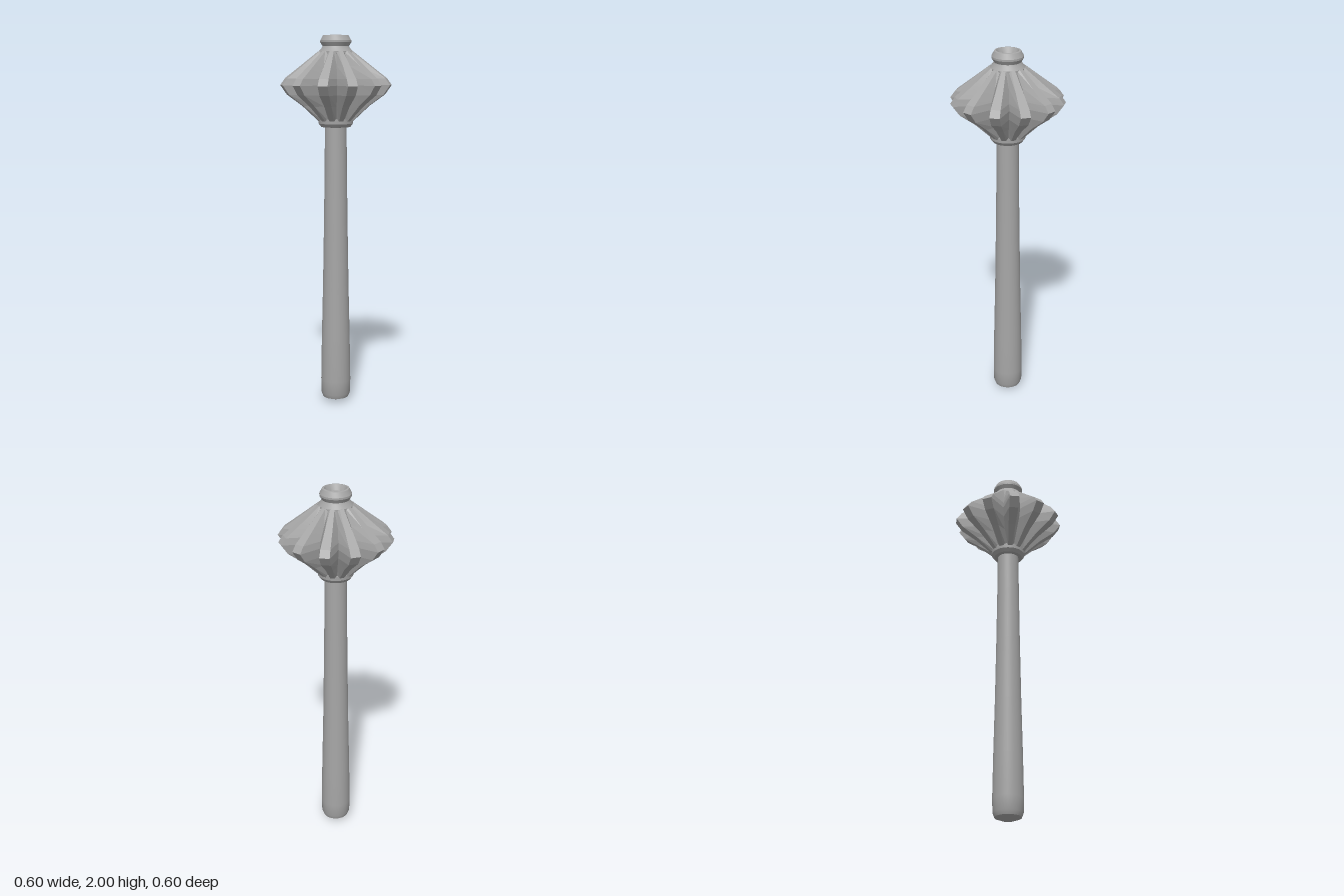
import * as THREE from 'three';
import { toCreasedNormals } from 'three/addons/utils/BufferGeometryUtils.js';

const steel = new THREE.MeshStandardMaterial({ color: 0xa6a6a6 });
steel.name = 'grey steel';

// Turned part from a bottom-to-top [radius, height] profile
function turned(name, profile, sides = 32) {
  const lathe = new THREE.LatheGeometry(profile.map(([r, y]) => new THREE.Vector2(r, y)), sides);
  const mesh = new THREE.Mesh(toCreasedNormals(lathe, 0.45), steel);
  mesh.name = name;
  return mesh;
}

// Twelve-flanged head: star-shaped cross-sections joined from bottom to top
function flangedHead() {
  const flanges = 12;
  const step = (Math.PI * 2) / flanges;
  const turn = -Math.PI / 36;
  // height, ridge radius, ridge half width, valley radius
  const sections = [
    [1.55, 0.095, 0.011, 0.080],
    [1.63, 0.180, 0.019, 0.128],
    [1.69, 0.262, 0.025, 0.165],
    [1.74, 0.297, 0.026, 0.180],
    [1.775, 0.272, 0.025, 0.172],
    [1.84, 0.188, 0.019, 0.132],
    [1.915, 0.093, 0.011, 0.080],
  ];
  const n = flanges * 3;
  const positions = [];
  for (const [y, r, half, valley] of sections) {
    for (let f = 0; f < flanges; f++) {
      const a = turn + f * step;
      const c = Math.cos(a), s = Math.sin(a);
      positions.push(r * c + half * s, y, r * s - half * c);
      positions.push(r * c - half * s, y, r * s + half * c);
      positions.push(valley * Math.cos(a + step / 2), y, valley * Math.sin(a + step / 2));
    }
  }
  const last = sections.length - 1;
  const bottom = positions.length / 3;
  positions.push(0, sections[0][0], 0, 0, sections[last][0], 0);

  const index = [];
  for (let j = 0; j < n; j++) {
    const k = (j + 1) % n;
    for (let i = 0; i < last; i++) {
      const a = i * n + j, b = i * n + k, c = b + n, d = a + n;
      index.push(a, d, c, a, c, b);
    }
    // end caps
    index.push(bottom, j, k, bottom + 1, last * n + k, last * n + j);
  }
  const geometry = new THREE.BufferGeometry();
  geometry.setAttribute('position', new THREE.Float32BufferAttribute(positions, 3));
  geometry.setIndex(index);
  const mesh = new THREE.Mesh(toCreasedNormals(geometry, 0.1), steel);
  mesh.name = 'flangedHead';
  return mesh;
}

export function createModel() {
  const mace = new THREE.Group();
  mace.name = 'mace';

  // Tapered shaft with a shallow pointed butt
  mace.add(turned('handle', [
    [0, 0], [0.03, 0.007], [0.07, 0.022], [0.079, 0.045], [0.081, 0.12],
    [0.077, 0.35], [0.07, 0.65], [0.064, 1.0], [0.06, 1.3], [0.058, 1.53],
  ]));

  // Collar beneath the head
  mace.add(turned('lowerCollar', [
    [0.055, 1.515], [0.078, 1.517], [0.092, 1.535], [0.094, 1.56], [0.08, 1.565],
  ]));

  mace.add(flangedHead());

  // Upper collar, necked knob and its dished top
  mace.add(turned('topKnob', [
    [0.08, 1.9], [0.09, 1.905], [0.09, 1.915], [0.074, 1.934], [0.07, 1.942],
    [0.082, 1.962], [0.082, 1.972], [0.068, 1.998], [0.058, 2.0],
    [0.042, 1.97], [0.008, 1.974],
  ]));

  return mace;
}
